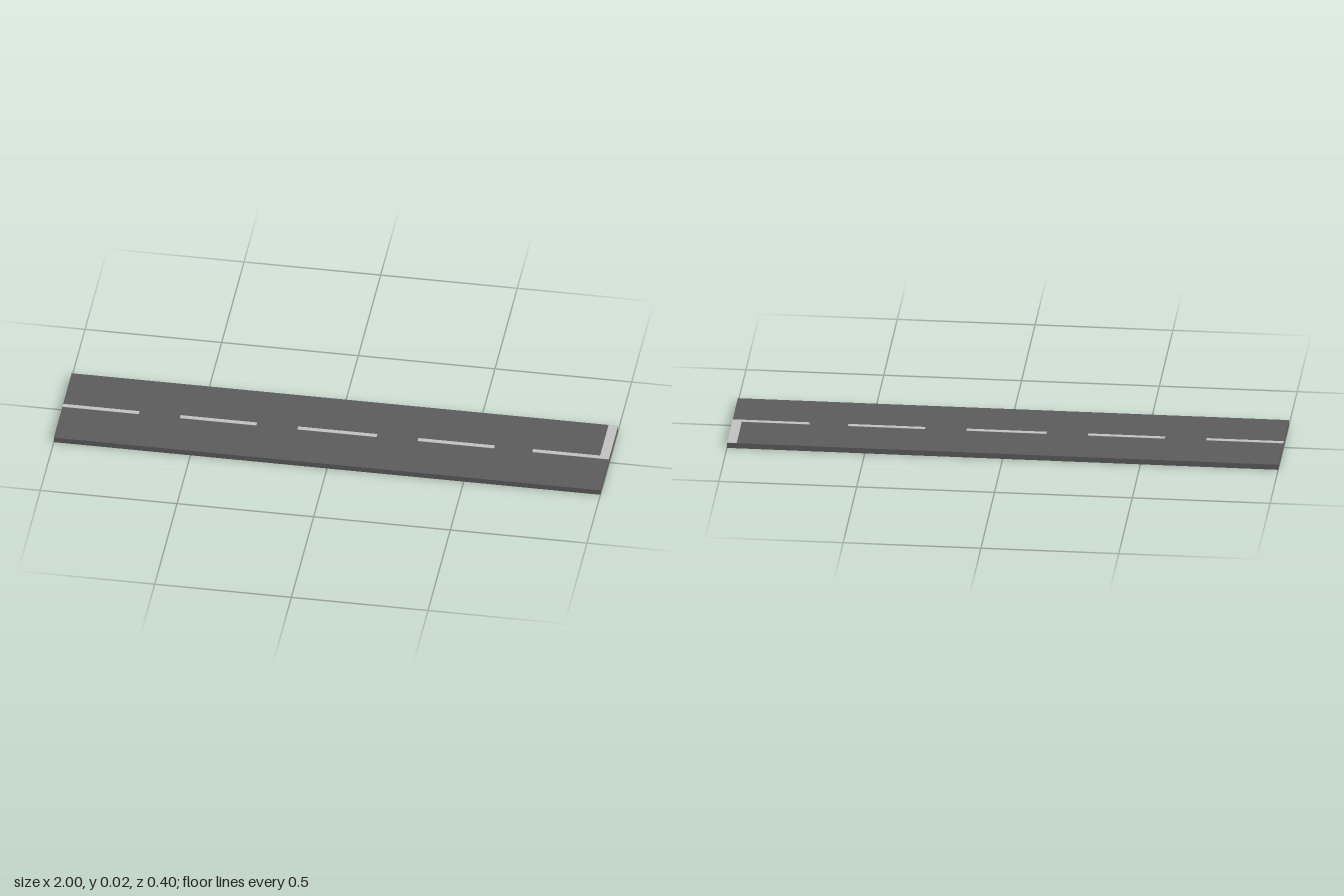
import * as THREE from 'three';

const HEIGHT = 0.021;
const PAINT = 0.001;

export function createModel() {
  const road = new THREE.Group();
  road.name = 'roadSegment';

  const asphalt = new THREE.MeshStandardMaterial({ color: 0x5c5c5c });
  asphalt.name = 'asphalt grey';
  const paint = new THREE.MeshStandardMaterial({ color: 0xc2c2c2 });
  paint.name = 'road paint';

  // Box given by its x and z limits, resting on y
  function slab(name, material, x0, x1, z0, z1, y, height) {
    const mesh = new THREE.Mesh(new THREE.BoxGeometry(x1 - x0, height, z1 - z0), material);
    mesh.name = name;
    mesh.position.set((x0 + x1) / 2, y + height / 2, (z0 + z1) / 2);
    road.add(mesh);
  }

  // Road bed
  slab('roadBed', asphalt, -1, 1, -0.2, 0.2, 0, HEIGHT - PAINT);

  // Dashed centre line; the last dash runs into the stop line
  const dashes = [[-1, -0.72], [-0.57, -0.29], [-0.14, 0.15], [0.3, 0.58], [0.72, 0.965]];
  dashes.forEach(([x0, x1], i) => {
    slab(`centreDash${i + 1}`, paint, x0, x1, -0.009, 0.009, HEIGHT - PAINT, PAINT);
  });

  // Stop line across one lane
  slab('stopLine', paint, 0.965, 1, -0.2, 0.009, HEIGHT - PAINT, PAINT);

  return road;
}
